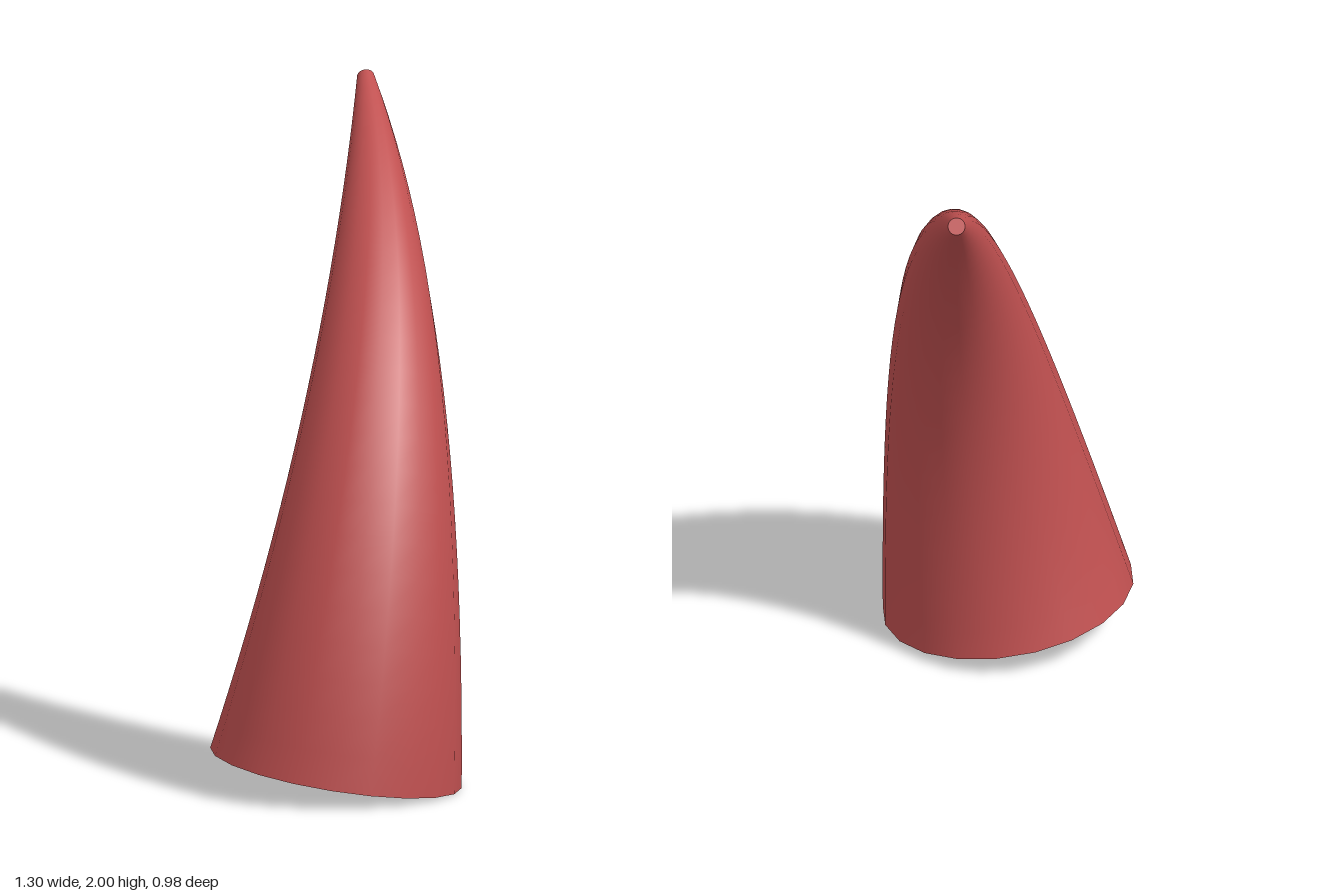
import * as THREE from 'three';

const SIDES = 20, RINGS = 24;
const BASE_RADIUS = 0.382, TIP_RADIUS = 0.026;

// Centre line: rises almost straight, then sweeps to the left and back
function hornPath() {
  const start = new THREE.Vector3(-0.27, 0.06, 0.105);
  const end = new THREE.Vector3(0.628, 1.978, -0.472);
  const t0 = new THREE.Vector3(0.085, 0.99, 0.13).normalize();
  const t1 = new THREE.Vector3(0.623, 0.52, -0.587).normalize();
  return new THREE.CubicBezierCurve3(
    start,
    start.clone().addScaledVector(t0, 0.84),
    end.clone().addScaledVector(t1, -0.84),
    end
  );
}

// Points of one circular section, square to the path
function section(path, u) {
  const centre = path.getPointAt(u);
  const tangent = path.getTangentAt(u);
  const side = new THREE.Vector3(0, 0, 1).cross(tangent).normalize();
  const front = tangent.clone().cross(side);
  const r = THREE.MathUtils.lerp(BASE_RADIUS, TIP_RADIUS, u);
  return Array.from({ length: SIDES }, (_, j) => {
    const a = (j / SIDES) * Math.PI * 2;
    return centre.clone()
      .addScaledVector(side, r * Math.cos(a))
      .addScaledVector(front, r * Math.sin(a));
  });
}

function buildGeometry(points, index) {
  const geometry = new THREE.BufferGeometry().setFromPoints(points);
  geometry.setIndex(index);
  geometry.computeVertexNormals();
  return geometry;
}

// Tapered wall joining all sections
function wallGeometry(path) {
  const points = [], index = [];
  for (let i = 0; i <= RINGS; i++) points.push(...section(path, i / RINGS));
  for (let i = 0; i < RINGS; i++) {
    for (let j = 0; j < SIDES; j++) {
      const k = (j + 1) % SIDES;
      const a = i * SIDES + j, b = i * SIDES + k;
      index.push(a, b, b + SIDES, a, b + SIDES, a + SIDES);
    }
  }
  return buildGeometry(points, index);
}

// Flat disc closing one end
function capGeometry(path, u) {
  const points = [...section(path, u), path.getPointAt(u)];
  const index = [];
  for (let j = 0; j < SIDES; j++) {
    const k = (j + 1) % SIDES;
    index.push(SIDES, u ? j : k, u ? k : j);
  }
  return buildGeometry(points, index);
}

export function createModel() {
  const group = new THREE.Group();
  group.name = 'horn';
  const material = new THREE.MeshStandardMaterial({ color: 0xc05050, side: THREE.DoubleSide });
  const path = hornPath();
  const add = (name, geometry) => {
    const mesh = new THREE.Mesh(geometry, material);
    mesh.name = name;
    group.add(mesh);
  };
  add('hornWall', wallGeometry(path));
  add('hornBase', capGeometry(path, 0));
  add('hornTip', capGeometry(path, 1));
  return group;
}
